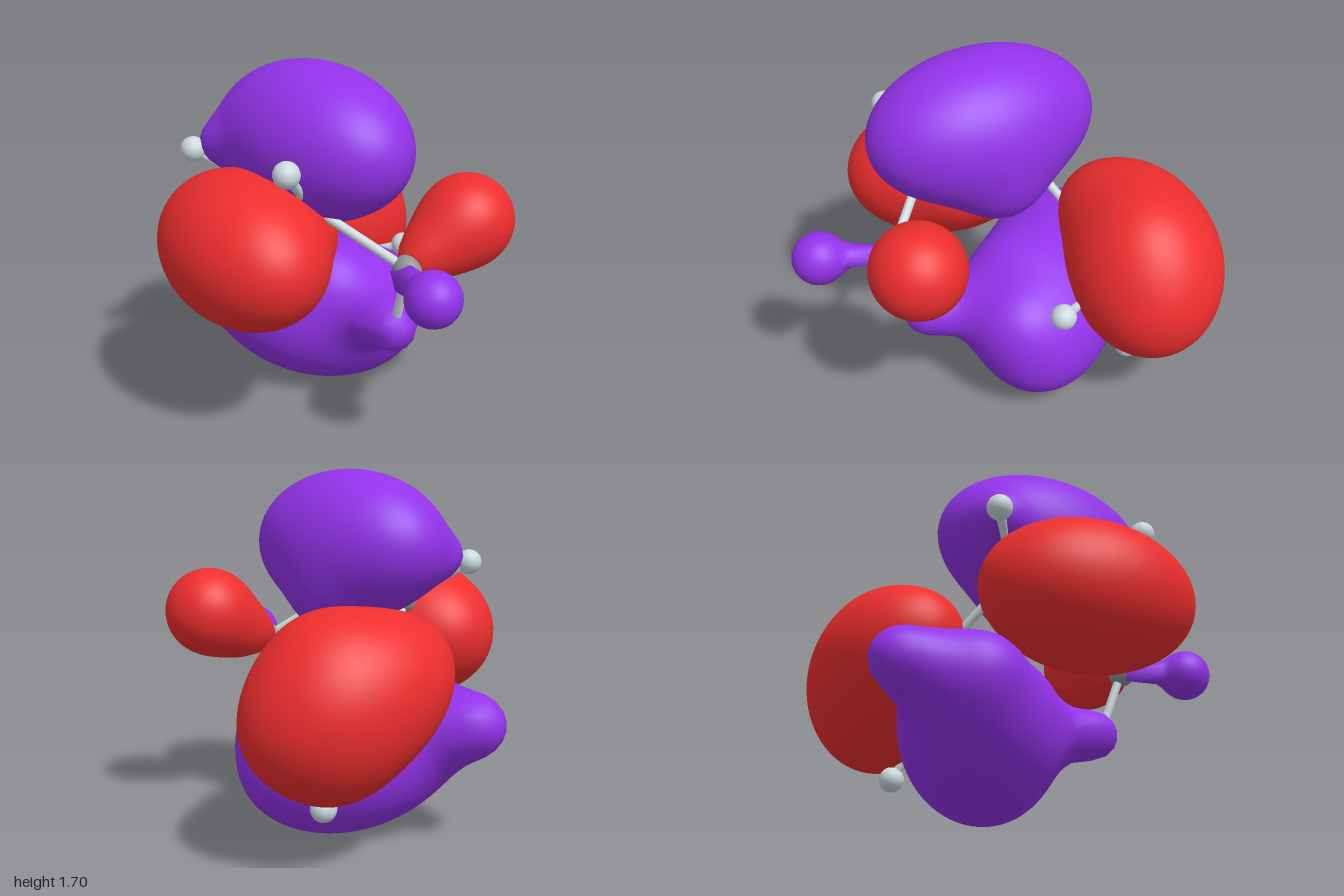
import * as THREE from 'three';
import { mergeVertices } from 'three/addons/utils/BufferGeometryUtils.js';

const V = (a) => new THREE.Vector3(...a);
const purple = new THREE.MeshStandardMaterial({ color: 0x9333ea });
const red = new THREE.MeshStandardMaterial({ color: 0xee2e2e });
const pale = new THREE.MeshStandardMaterial({ color: 0xccd9de });
const grey = new THREE.MeshStandardMaterial({ color: 0x8c9494 });

// Distance to a ball [x, y, z, r], or to an egg [x, y, z, r, axis, half length]
function shape([x, y, z, r, axis = [0, 1, 0], long = r]) {
  const c = V([x, y, z]), a = V(axis).normalize(), d = new THREE.Vector3();
  return (p) => {
    d.copy(p).sub(c);
    const len = d.length(), along = d.dot(a);
    const q = Math.sqrt(Math.max(len * len - along * along, 0) / (r * r) + (along * along) / (long * long));
    return q > 1e-6 ? len * (1 - 1 / q) : -r;
  };
}

// Closed blob: a smooth blend of shapes, found along rays from the first one's centre
function lobe(name, material, parts, detail, k = 14) {
  const c = V(parts[0].slice(0, 3));
  const shapes = parts.map(shape);
  const p = new THREE.Vector3();
  const inside = (dir, t) => {
    p.copy(c).addScaledVector(dir, t);
    return shapes.reduce((s, f) => s + Math.exp(-k * f(p)), 0) > 1;
  };
  let geo = new THREE.IcosahedronGeometry(1, detail);
  geo.deleteAttribute('uv');
  geo.deleteAttribute('normal');
  geo = mergeVertices(geo);
  const pos = geo.attributes.position;
  const dir = new THREE.Vector3();
  for (let i = 0; i < pos.count; i++) {
    dir.fromBufferAttribute(pos, i).normalize();
    let hi = 1.1;
    while (hi > 0.02 && !inside(dir, hi - 0.01)) hi -= 0.01;
    let lo = hi - 0.01;
    for (let n = 0; n < 7; n++) {
      const mid = (lo + hi) / 2;
      if (inside(dir, mid)) lo = mid; else hi = mid;
    }
    p.copy(c).addScaledVector(dir, lo);
    pos.setXYZ(i, p.x, p.y, p.z);
  }
  geo.computeVertexNormals();
  const mesh = new THREE.Mesh(geo, material);
  mesh.name = name;
  return mesh;
}

function ball(name, at, radius, material) {
  const mesh = new THREE.Mesh(new THREE.SphereGeometry(radius, 20, 14), material);
  mesh.position.copy(V(at));
  mesh.name = name;
  return mesh;
}

function stick(a, b) {
  const from = V(a), d = V(b).sub(from);
  const mesh = new THREE.Mesh(new THREE.CylinderGeometry(0.022, 0.022, d.length(), 12), pale);
  mesh.position.copy(from).addScaledVector(d, 0.5);
  mesh.quaternion.setFromUnitVectors(new THREE.Vector3(0, 1, 0), d.normalize());
  mesh.name = 'bond';
  return mesh;
}

export function createModel() {
  const model = new THREE.Group();
  model.name = 'molecularOrbital';

  // Ball-and-stick skeleton: a chain of five atoms, each with its small end atoms
  const skeleton = new THREE.Group();
  skeleton.name = 'skeleton';
  const chain = [
    [[0.25, 0.84, 0.54], [[0.24, 0.84, 0.88], [0.24, 0.5, 0.42], [0.58, 1.0, 0.42]]],
    [[-0.15, 1.12, 0.35], [[-0.3, 1.33, 0.54]]],
    [[-0.26, 1.08, -0.09], [[-0.56, 1.26, -0.18]]],
    [[-0.08, 0.76, -0.38], [[-0.4, 0.58, -0.58]]],
    [[0.23, 0.52, -0.42], [[0.525, 0.64, -0.23], [0.3, 0.24, -0.59]]],
  ];
  chain.forEach(([at, ends], i) => {
    skeleton.add(ball('chainAtom', at, 0.07, grey));
    if (i) skeleton.add(stick(chain[i - 1][0], at));
    for (const end of ends) skeleton.add(ball('endAtom', end, 0.06, pale), stick(at, end));
  });
  model.add(skeleton);

  // Large lobes: an egg-shaped body, a taper towards the chain, and small bumps
  model.add(
    lobe('topLobe', purple, [
      [-0.05, 1.345, 0.095, 0.355, [0.21, 0, 0.5], 0.555],
      [0.05, 1.12, 0.02, 0.18], [-0.44, 1.29, -0.16, 0.07],
    ], 14),
    lobe('sideLobe', red, [
      [-0.43, 0.905, 0.24, 0.35, [0.12, 0, 0.5], 0.515], [-0.15, 0.93, 0.2, 0.15],
    ], 14),
    lobe('backLobe', red, [
      [0.21, 0.72, -0.645, 0.345, [0.91, -0.42, -0.08], 0.48],
      [0.3, 0.7, -0.66, 0.29, [0, 1, 0.15], 0.38], [-0.09, 0.83, -0.49, 0.18],
    ], 14),
    lobe('bottomLobe', purple, [
      [0.05, 0.385, -0.2, 0.37, [0.93, -0.25, 0.22], 0.52],
      [-0.34, 0.53, -0.44, 0.14], [-0.42, 0.56, -0.6, 0.12], [-0.36, 0.54, -0.22, 0.14],
      [0.36, 0.48, -0.04, 0.15], [0.2, 0.48, 0.16, 0.11], [0.24, 0.49, 0.39, 0.11],
      [0.07, 0.59, -0.04, 0.13],
    ], 18),
  );

  // Small lobes around the end group
  model.add(
    lobe('smallSideLobe', red, [
      [0.585, 1.0, 0.415, 0.212], [0.42, 0.9, 0.45, 0.1], [0.3, 0.86, 0.5, 0.05],
    ], 8),
    lobe('frontBulb', purple, [
      [0.24, 0.84, 0.87, 0.125], [0.23, 0.84, 0.72, 0.03], [0.22, 0.83, 0.6, 0.08],
    ], 4, 30),
  );
  return model;
}
